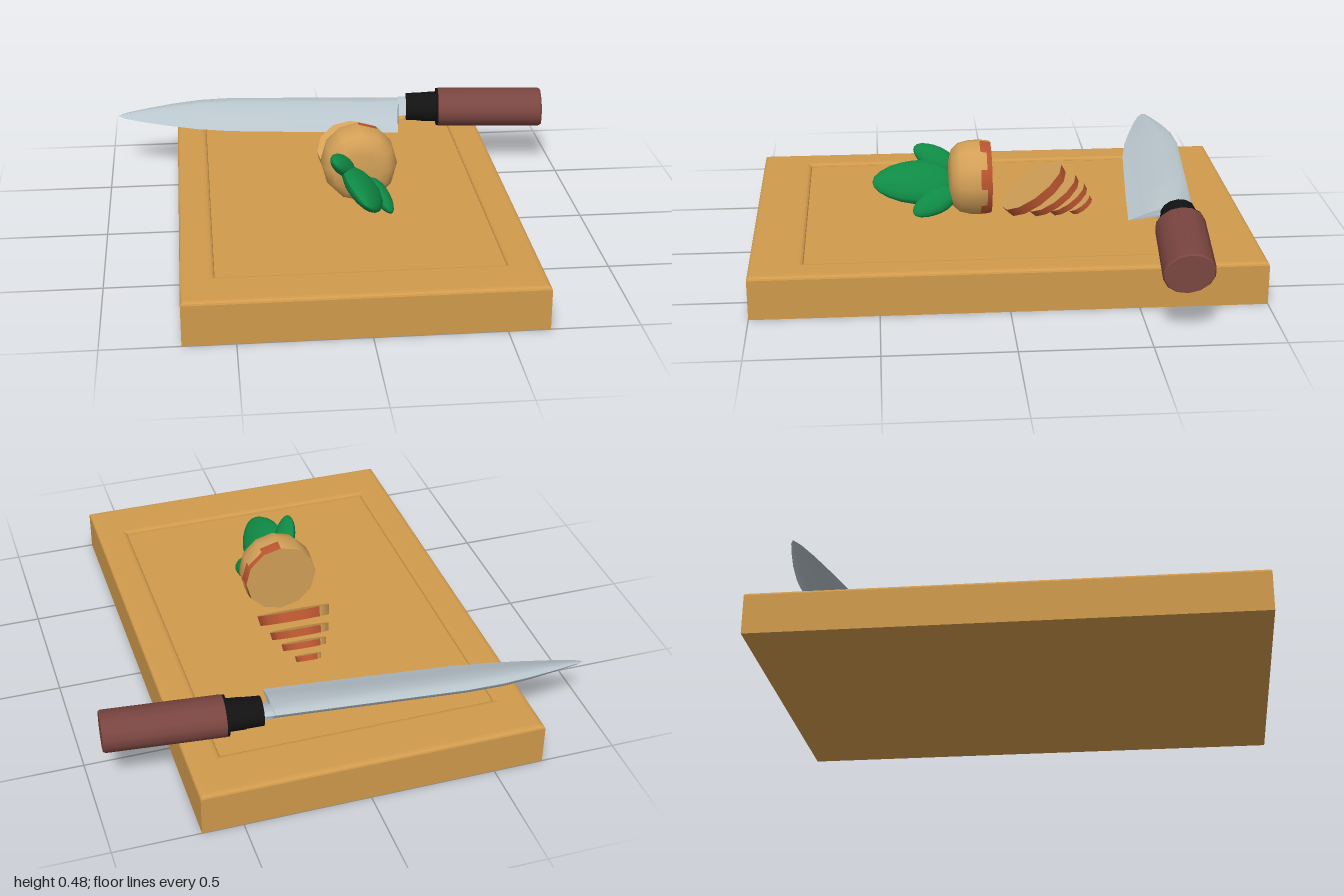
import * as THREE from 'three';
import { toCreasedNormals } from 'three/addons/utils/BufferGeometryUtils.js';

const paint = (name, color) => {
  const m = new THREE.MeshStandardMaterial({ color });
  m.name = name;
  return m;
};

export function createModel() {
  const wood = paint('boardWood', 0xd09a4c);
  const flesh = paint('vegetableTan', 0xd3a057);
  const skin = paint('vegetableRed', 0xb9552f);
  const green = paint('leafGreen', 0x0f8a45);
  const steel = paint('steel', 0xb9c5cc);
  const black = paint('bolsterBlack', 0x121212);
  const grip = paint('handleBrown', 0x7a4540);

  const model = new THREE.Group();
  model.name = 'choppingBoardSet';
  const add = (parent, name, geometry, material, x = 0, y = 0, z = 0) => {
    const mesh = new THREE.Mesh(geometry, material);
    mesh.name = name;
    mesh.position.set(x, y, z);
    parent.add(mesh);
    return mesh;
  };

  // Board: solid base with a raised, bevelled border around a shallow recess
  const board = new THREE.Group();
  board.name = 'choppingBoard';
  board.position.x = -0.02;
  model.add(board);
  add(board, 'boardBase', new THREE.BoxGeometry(1.36, 0.16, 2), wood, 0, 0.08, 0);
  const rect = (C, w, h) => new C([[-w, -h], [w, -h], [w, h], [-w, h]].map(p => new THREE.Vector2(...p)));
  const border = rect(THREE.Shape, 0.68, 1);
  border.holes.push(rect(THREE.Path, 0.55, 0.79));
  const borderGeo = new THREE.ExtrudeGeometry(border, {
    depth: 0.018, bevelThickness: 0.013, bevelSize: 0.02, bevelOffset: -0.02, bevelSegments: 3,
  });
  borderGeo.rotateX(-Math.PI / 2);
  add(board, 'boardBorder', borderGeo, wood, 0, 0.143, 0);

  // Knife: lies across the back, edge tipped down to the front
  const knife = new THREE.Group();
  knife.name = 'knife';
  knife.position.set(0, 0.263, -0.727);
  knife.rotation.set(0.27, -0.1, 0, 'YXZ');
  model.add(knife);

  // Blade stations: x, spine z, edge z
  const stations = [
    [0.36, -0.062, 0.07], [0.305, -0.062, 0.073], [0.3, -0.062, 0.2], [0, -0.061, 0.198],
    [-0.45, -0.058, 0.19], [-0.6, -0.04, 0.175], [-0.72, -0.012, 0.152],
    [-0.85, 0.027, 0.122], [-0.93, 0.055, 0.097], [-0.96, 0.072, 0.076],
  ];
  // Cross-section: fraction from spine to edge, half thickness
  const upper = [[0, 0], [0.06, 0.016], [0.25, 0.023], [0.5, 0.02], [0.75, 0.008], [1, 0]];
  const section = [...upper, ...upper.slice(1, -1).reverse().map(([f, t]) => [f, -t])];
  const n = section.length;
  const pos = [], idx = [];
  stations.forEach(([x, s, e], i) => {
    const k = i < 2 ? 1 : Math.min(1, (e - s) / 0.2);
    for (const [f, t] of section) pos.push(x, t * k, s + (e - s) * f);
    if (i === 0) return;
    for (let j = 0; j < n; j++) {
      const a = (i - 1) * n + j, b = (i - 1) * n + (j + 1) % n;
      idx.push(a, a + n, b, b, a + n, b + n);
    }
  });
  const last = (stations.length - 1) * n;
  for (let j = 1; j < n - 1; j++) idx.push(0, j, j + 1, last, last + j + 1, last + j);
  const bladeGeo = new THREE.BufferGeometry();
  bladeGeo.setAttribute('position', new THREE.Float32BufferAttribute(pos, 3));
  bladeGeo.setIndex(idx);
  add(knife, 'blade', toCreasedNormals(bladeGeo, 0.8), steel);

  // Oval bars along the knife: handle and bolster
  const bar = (name, x0, x1, r0, r1, flat, material) => {
    const g = new THREE.CylinderGeometry(r0, r1, x1 - x0, 14);
    g.rotateZ(Math.PI / 2).scale(1, flat, 1);
    add(knife, name, g, material, (x0 + x1) / 2, 0, 0);
  };
  bar('bolsterFront', 0.34, 0.42, 0.071, 0.075, 0.78, black);
  bar('bolsterBack', 0.41, 0.48, 0.078, 0.08, 0.76, black);
  bar('handleCollar', 0.475, 0.49, 0.099, 0.099, 0.77, black);
  bar('handle', 0.485, 0.94, 0.1, 0.1, 0.78, grip);
  bar('handleEnd', 0.94, 0.95, 0.1, 0.094, 0.78, grip);

  // Vegetable half: turned body, with an irregular red patch beside the cut
  const veg = new THREE.Group();
  veg.name = 'vegetable';
  veg.position.set(0.04, 0.325, 0);
  model.add(veg);
  const profile = [[0.149, 0.035], [0.153, 0.055], [0.155, 0.08], [0.154, 0.12], [0.143, 0.165], [0.115, 0.195], [0.07, 0.206], [0, 0.208]]
    .map(p => new THREE.Vector2(...p));
  const segs = 12, bands = profile.length - 1;
  const bodyGeo = new THREE.LatheGeometry(profile, segs);
  for (let i = 0; i < segs; i++) {
    const red = i < 1 || i > 5 ? 0 : i % 2 ? 2 : 1;
    for (let j = 0; j < bands; j++) bodyGeo.addGroup((i * bands + j) * 6, 6, j < red ? 1 : 0);
  }
  bodyGeo.rotateX(Math.PI / 2);
  add(veg, 'vegetableBody', bodyGeo, [flesh, skin]);
  const cut = add(veg, 'cutFace', new THREE.CircleGeometry(0.149, segs), flesh, 0, 0, 0.035);
  cut.rotation.y = Math.PI;

  // Leaves: flattened ovals, narrower at the tip
  const leaf = (name, centre, dir, w, t, l) => {
    const g = new THREE.SphereGeometry(1, 14, 10).rotateX(Math.PI / 2);
    const p = g.attributes.position;
    for (let i = 0; i < p.count; i++) {
      const k = 1 - 0.18 * p.getZ(i);
      p.setXY(i, p.getX(i) * k, p.getY(i) * k);
    }
    g.scale(w, t, l);
    g.computeVertexNormals();
    const m = add(model, name, g, green, ...centre);
    m.lookAt(new THREE.Vector3(...centre).add(new THREE.Vector3(...dir)));
    m.rotateZ(-0.75);
  };
  leaf('leafMiddle', [0.03, 0.305, 0.35], [0, 0.02, 1], 0.1, 0.045, 0.17);
  leaf('leafUpper', [-0.045, 0.38, 0.262], [-0.35, 0.4, 0.8], 0.056, 0.034, 0.098);
  leaf('leafLower', [0.11, 0.245, 0.27], [0.3, -0.35, 0.8], 0.056, 0.034, 0.098);

  // Fallen slices: tan on top, red below and on one side of the rim
  const slices = [
    [0.152, 0.04, 0.281, -0.135], [0.124, 0.03, 0.25, -0.217],
    [0.094, 0.026, 0.228, -0.278], [0.054, 0.022, 0.199, -0.333],
  ];
  slices.forEach(([r, t, y, z], i) => {
    const g = new THREE.CylinderGeometry(r, r * 0.96, t, segs);
    g.translate(0, -t / 2, 0);
    g.clearGroups();
    g.addGroup(0, 42, 1);
    g.addGroup(42, 30, 0);
    g.addGroup(72, 36, 0);
    g.addGroup(108, 36, 1);
    add(model, 'slice' + (i + 1), g, [flesh, skin], 0.04, y, z).rotation.x = 0.62;
  });

  return model;
}
